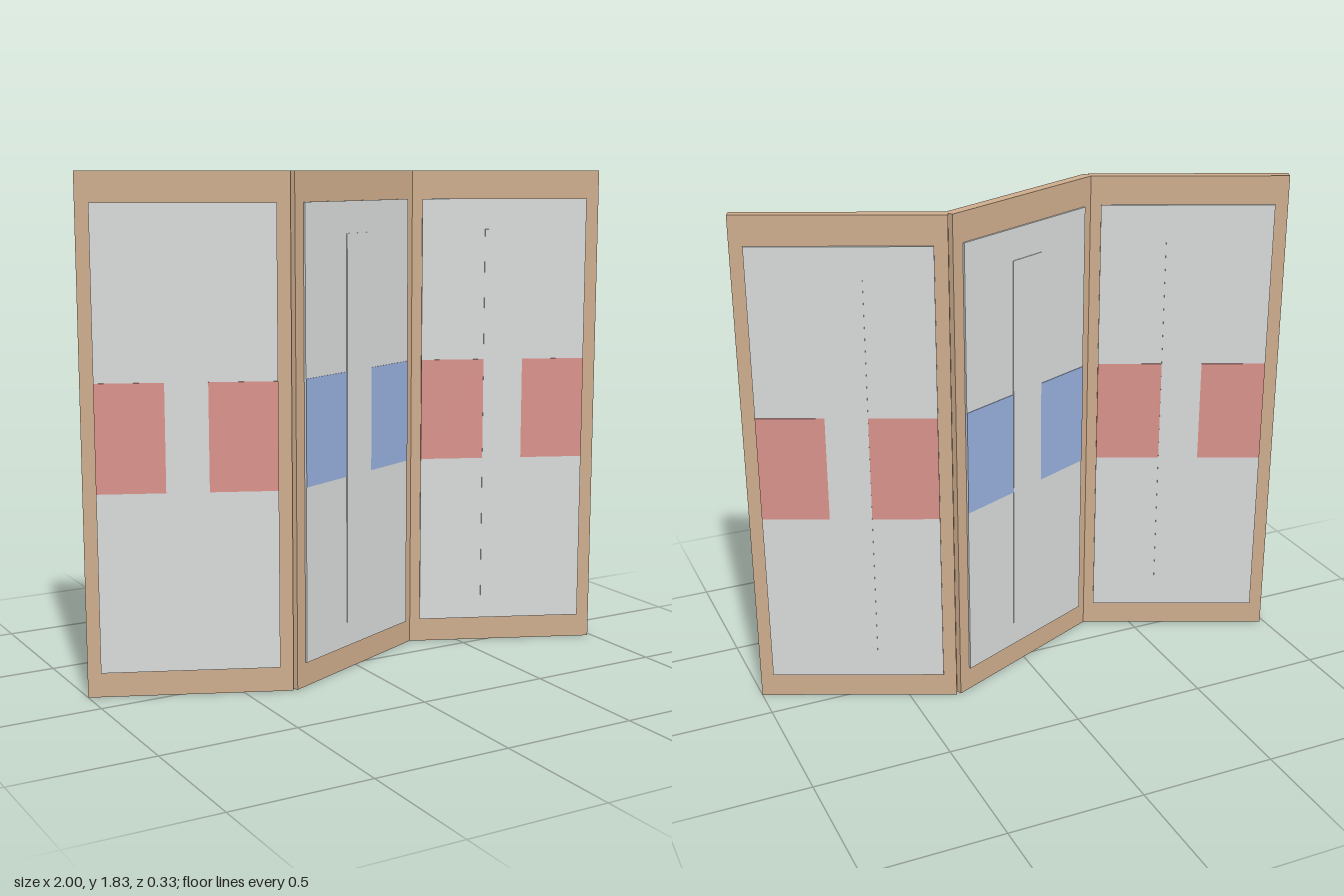
import * as THREE from 'three';

const material = (name, color) => {
  const m = new THREE.MeshStandardMaterial({ color });
  m.name = name;
  return m;
};

export function createModel() {
  const wood = material('light wood', 0xcfae8e);
  const paper = material('pale paper', 0xd9dcdb);
  const red = material('soft red', 0xdb938d);
  const blue = material('soft blue', 0x98b0de);

  const angle = THREE.MathUtils.degToRad(24);
  const height = 1.83, width = 0.724, depth = 0.04;
  const step = width * Math.cos(angle);

  const box = (name, mat, w, h, d, x, y) => {
    const mesh = new THREE.Mesh(new THREE.BoxGeometry(w, h, d), mat);
    mesh.name = name;
    mesh.position.set(x, y, 0);
    return mesh;
  };

  // One leaf: wooden board with paper, coloured blocks and a centre strip showing on both faces
  const makePanel = (name, accent) => {
    const panel = new THREE.Group();
    panel.name = name;
    panel.add(box('frame', wood, width, height, depth, 0, height / 2));
    panel.add(box('paper', paper, 0.63, 1.635, 0.054, 0, 0.907));
    for (const side of [-1, 1]) {
      panel.add(box('colourBlock', accent, 0.24, 0.385, 0.058, side * 0.195, 0.9225));
    }
    panel.add(box('centreStrip', paper, 0.15, 1.43, 0.06, 0, 0.895));
    return panel;
  };

  // Three leaves hinged in a zigzag
  const screen = new THREE.Group();
  screen.name = 'foldingScreen';
  [['rightPanel', red], ['middlePanel', blue], ['leftPanel', red]].forEach(([name, accent], i) => {
    const panel = makePanel(name, accent);
    panel.position.x = (i - 1) * step;
    panel.rotation.y = i === 1 ? angle : -angle;
    screen.add(panel);
  });
  return screen;
}
